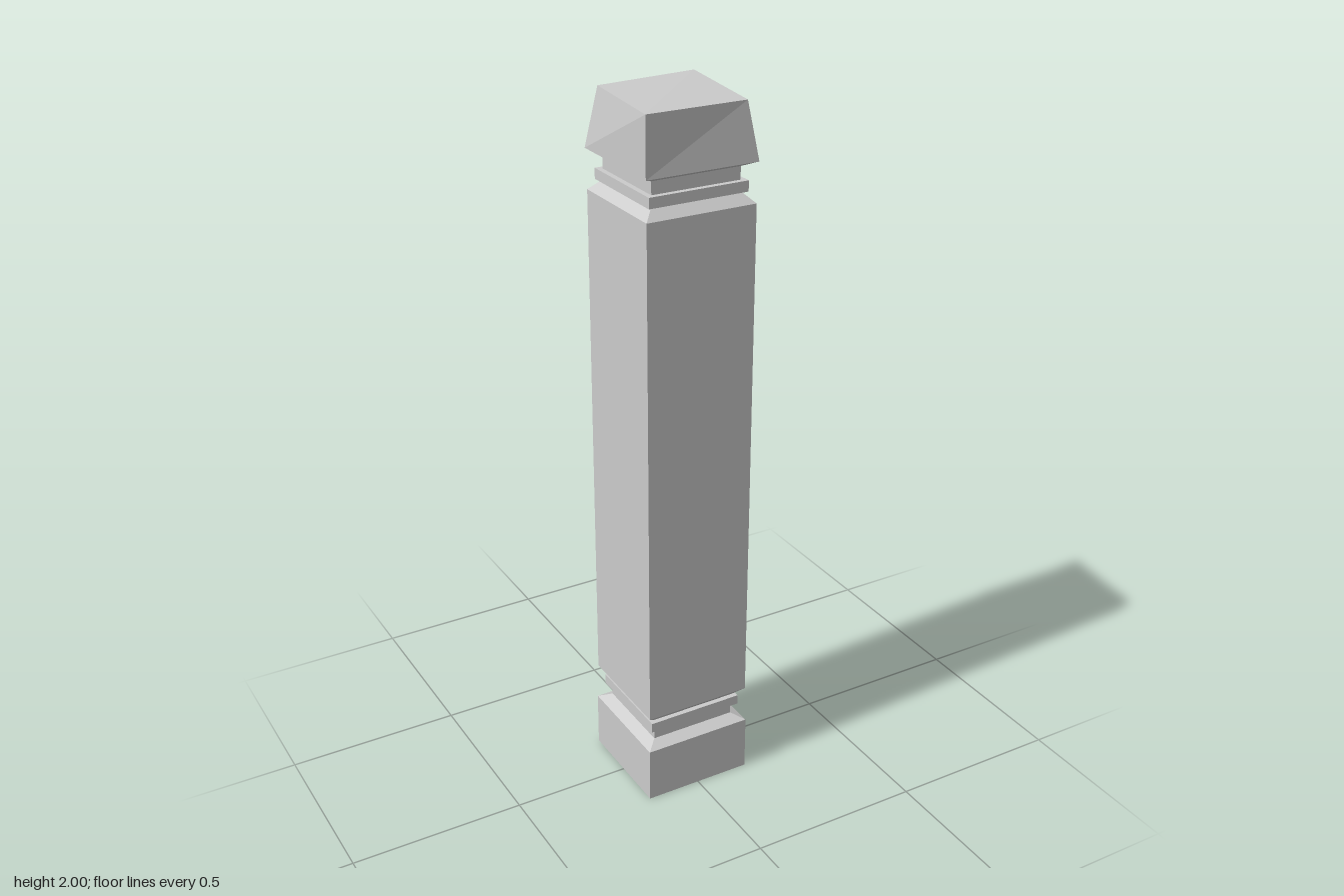
import * as THREE from 'three';

const material = new THREE.MeshStandardMaterial({ color: 0xcccccc, flatShading: true });

// Square section solid: rows of [half width, height], from bottom to top
function squareSolid(name, rows) {
  const points = [[0, rows[0][1]], ...rows, [0, rows[rows.length - 1][1]]]
    .map(([half, y]) => new THREE.Vector2(half * Math.SQRT2, y));
  const geometry = new THREE.LatheGeometry(points, 4, Math.PI / 4).toNonIndexed();
  geometry.computeVertexNormals();
  const mesh = new THREE.Mesh(geometry, material);
  mesh.name = name;
  return mesh;
}

// Cap block: a box whose top corners are worn unevenly
function wornCap(bottom, top, half) {
  const corners = { '-1,-1': [-0.131, 2, -0.139], '1,-1': [half, 2, -half],
    '1,1': [0.131, 1.995, 0.147], '-1,1': [-half, 2, half] };
  const box = new THREE.BoxGeometry(2 * half, top - bottom, 2 * half);
  box.translate(0, (top + bottom) / 2, 0);
  const pos = box.attributes.position;
  for (let i = 0; i < pos.count; i++) {
    if (pos.getY(i) < top - 0.01) continue;
    pos.setXYZ(i, ...corners[`${Math.sign(pos.getX(i))},${Math.sign(pos.getZ(i))}`]);
  }
  const geometry = box.toNonIndexed();
  geometry.computeVertexNormals();
  const mesh = new THREE.Mesh(geometry, material);
  mesh.name = 'capBlock';
  return mesh;
}

export function createModel() {
  const group = new THREE.Group();
  group.name = 'squarePillar';
  const wide = 0.16, shaft = 0.157, neck = 0.127, collar = 0.142;

  group.add(
    // Foot with sloped shoulder
    squareSolid('footBlock', [[wide, 0], [wide, 0.163], [neck, 0.18]]),
    squareSolid('lowerNeck', [[neck, 0.18], [neck, 0.215]]),
    squareSolid('lowerCollar', [[collar, 0.215], [collar, 0.244]]),
    // Main shaft, bevelled at both ends
    squareSolid('shaft', [[neck, 0.244], [shaft, 0.273], [shaft, 1.732], [neck, 1.761]]),
    squareSolid('upperCollar', [[collar, 1.761], [collar, 1.79]]),
    squareSolid('upperNeck', [[neck, 1.79], [neck, 1.825]]),
    // Flare below the cap
    squareSolid('capFlare', [[neck, 1.825], [wide, 1.84]]),
    wornCap(1.84, 2, wide)
  );
  return group;
}
